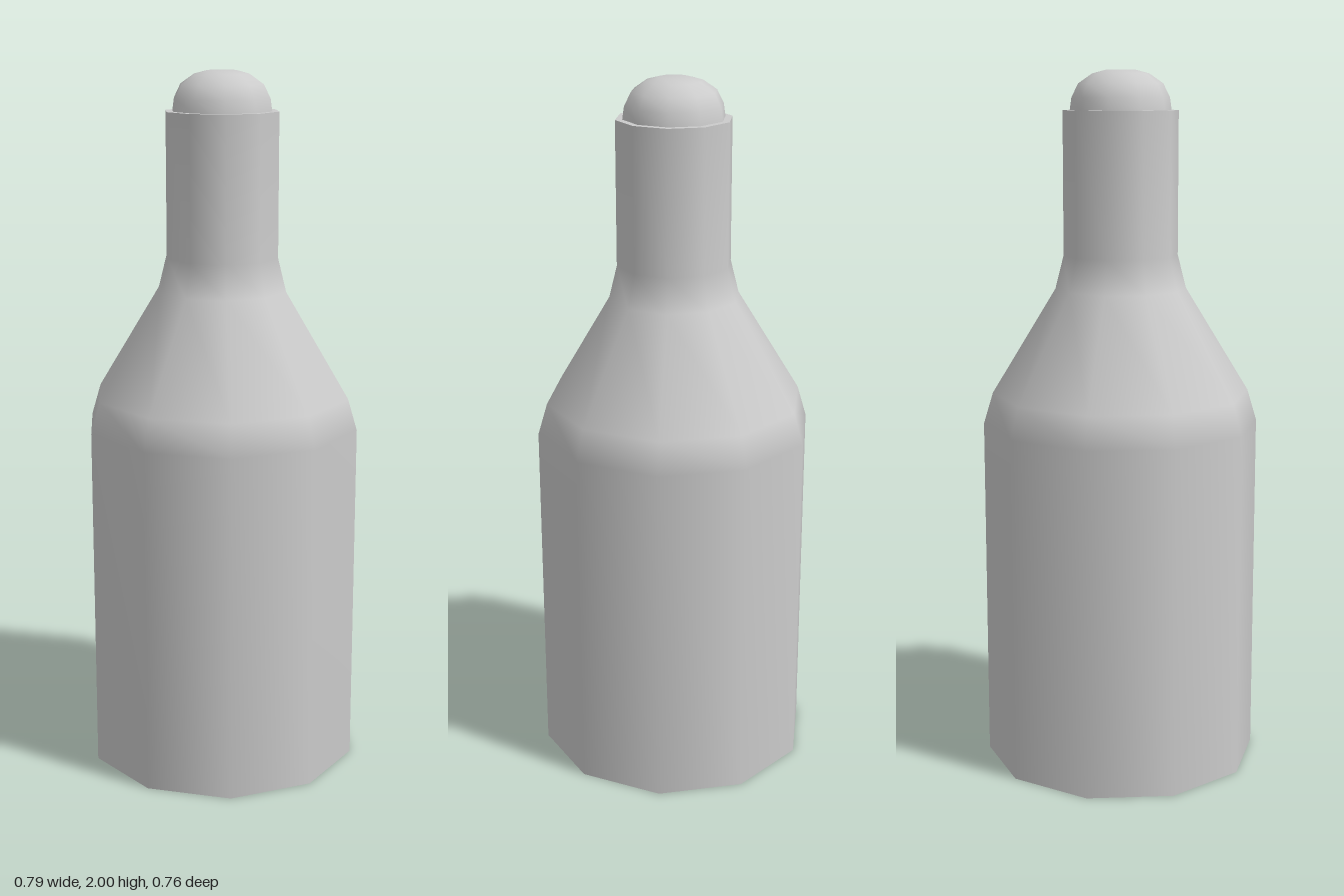
import * as THREE from 'three';

const SIDES = 10;

export function createModel() {
  const group = new THREE.Group();
  const material = new THREE.MeshStandardMaterial({ color: 0xcccccc });

  // Revolve a profile of [radius, height] points, listed bottom to top; corners lie on the x axis
  function turned(name, profile) {
    const points = profile.map(([r, y]) => new THREE.Vector2(r, y));
    const mesh = new THREE.Mesh(new THREE.LatheGeometry(points, SIDES, Math.PI / 2), material);
    mesh.name = name;
    group.add(mesh);
  }

  // Separate lathes keep the base and rim edges sharp
  turned('base', [[0, 0], [0.397, 0]]);
  turned('bottle', [[0.397, 0], [0.397, 1], [0.37, 1.09], [0.187, 1.39], [0.163, 1.485], [0.163, 1.89]]);
  turned('rim', [[0.163, 1.89], [0.143, 1.89]]);

  // Rounded stopper
  turned('stopper', [[0.143, 1.89], [0.138, 1.925], [0.119, 1.963], [0.08, 1.99], [0.042, 2], [0, 2]]);

  return group;
}
